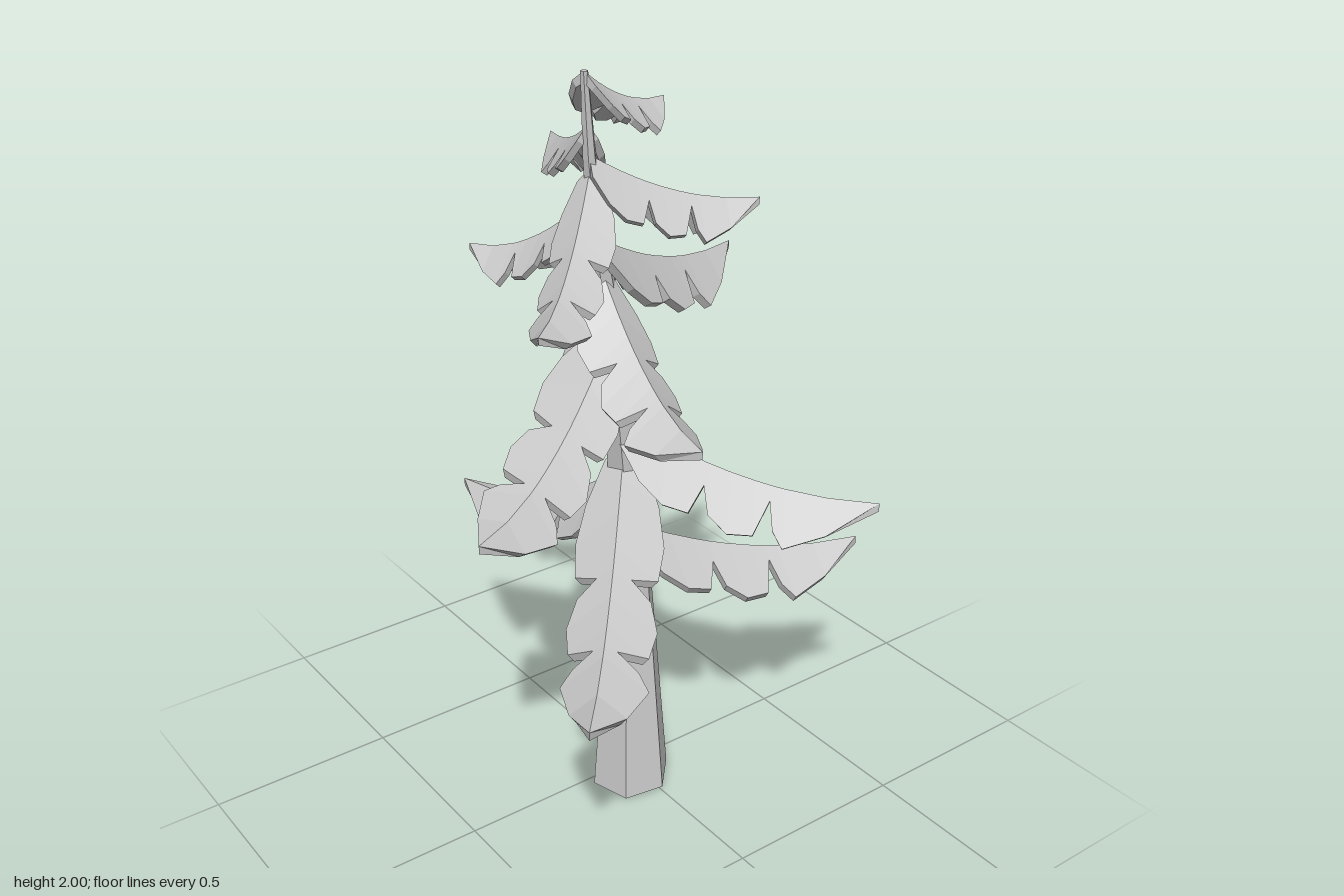
import * as THREE from 'three';

// Trunk centreline and radius: [y, x, z, radius]
const TRUNK = [
  [0, 0.05, 0.027, 0.108], [0.58, 0.05, 0.03, 0.064], [0.95, 0.065, 0.05, 0.05],
  [1.3, 0.09, 0.103, 0.036], [1.55, 0.105, 0.155, 0.026], [1.8, 0.125, 0.195, 0.016], [2, 0.14, 0.217, 0.009],
];

// Branches: [base height, tip x, tip y, tip z, left spread, right spread]
const BRANCHES = [
  [0.81, 0.22, 0.62, -0.61, 0.13, 0.125],
  [0.98, -0.57, 0.70, 0.15, 0.085, 0.14],
  [1.04, 0.515, 0.62, 0.485, 0.11, 0.105],
  [1.12, 0.51, 0.92, -0.39, 0.10, 0.08],
  [1.33, -0.445, 1.13, -0.14, 0.09, 0.095],
  [1.36, 0.27, 1.03, 0.605, 0.075, 0.135],
  [1.53, 0.57, 1.27, 0.22, 0.085, 0.1],
  [1.61, -0.085, 1.43, -0.385, 0.11, 0.08],
  [1.72, -0.22, 1.53, 0.305, 0.07, 0.065],
  [1.78, 0.34, 1.52, 0.48, 0.075, 0.07],
  [1.81, 0.27, 1.68, -0.175, 0.055, 0.065],
  [1.88, -0.14, 1.79, 0.12, 0.055, 0.055],
  [2.00, 0.065, 1.89, -0.055, 0.075, 0.07],
];

// Scalloped outline of one half: [distance along ridge, share of full width]
const OUTLINE = [
  [0, 0.45], [0.08, 0.85], [0.17, 1.03], [0.27, 0.96], [0.325, 0.4],
  [0.345, 0.85], [0.42, 1.04], [0.52, 0.92], [0.58, 0.27],
  [0.595, 0.75], [0.635, 1], [0.8, 0.64], [1, 0],
];

// Point on the trunk centreline at a given height
function trunkAt(y) {
  let i = 0;
  while (i < TRUNK.length - 2 && y > TRUNK[i + 1][0]) i++;
  const a = TRUNK[i], b = TRUNK[i + 1], k = (y - a[0]) / (b[0] - a[0]);
  return a.map((v, j) => THREE.MathUtils.lerp(v, b[j], k));
}

// Collects flat-shaded faces
function faceBuilder() {
  const pos = [];
  const tri = (a, b, c) => {
    const n = b.clone().sub(a).cross(c.clone().sub(a));
    if (n.length() > 1e-9) for (const p of [a, b, c]) pos.push(p.x, p.y, p.z);
  };
  return {
    quad(a, b, c, d, flip) {
      if (flip) [b, d] = [d, b];
      tri(a, b, c);
      tri(a, c, d);
    },
    build() {
      const g = new THREE.BufferGeometry();
      g.setAttribute('position', new THREE.Float32BufferAttribute(pos, 3));
      g.computeVertexNormals();
      return g;
    },
  };
}

// Six-sided tapering trunk bent along its centreline, with a slanted foot
function trunkGeometry() {
  const g = new THREE.CylinderGeometry(1, 1, 1, 6, TRUNK.length - 1).toNonIndexed();
  const p = g.attributes.position;
  for (let i = 0; i < p.count; i++) {
    const row = Math.round((p.getY(i) + 0.5) * (TRUNK.length - 1));
    const [y, x, z, r] = TRUNK[row];
    const a = Math.atan2(p.getX(i), p.getZ(i)) - 0.23;
    const rad = Math.hypot(p.getX(i), p.getZ(i)) * r;
    const px = Math.sin(a) * rad, pz = Math.cos(a) * rad;
    const slant = row === 0 ? 0.011 - px * 0.05 - pz * 0.08 : 0;
    p.setXYZ(i, x + px, y + slant, z + pz);
  }
  g.computeVertexNormals();
  return g;
}

// Drooping folded bough: two scalloped slabs meeting at a ridge
function boughGeometry([baseY, tx, ty, tz, spreadL, spreadR]) {
  const [, bx, bz] = trunkAt(baseY);
  const len = Math.hypot(tx - bx, tz - bz);
  const dir = new THREE.Vector3(tx - bx, 0, tz - bz).normalize();
  const left = new THREE.Vector3(dir.z, 0, -dir.x);
  const slant = 0.05 + 0.155 * len;
  const thick = 0.012 + 0.02 * len;
  const faces = faceBuilder();

  for (const side of [1, -1]) {
    const w = side > 0 ? spreadL : spreadR;
    const drop = Math.sqrt(Math.max(slant * slant - w * w, 0.0009));
    const s = Math.hypot(w, drop);
    const inward = left.clone().multiplyScalar(-side * drop / s * thick);
    inward.y = -w / s * thick;

    const rows = OUTLINE.map(([t, f]) => {
      const ridge = new THREE.Vector3(bx, ty + (baseY - ty) * Math.pow(1 - t, 2), bz).addScaledVector(dir, t * len);
      const under = ridge.clone();
      under.y -= thick * (1.5 - 0.6 * t);
      const outer = ridge.clone().addScaledVector(left, side * f * w);
      outer.y -= f * drop;
      const outerUnder = f === 0 ? under : outer.clone().add(inward);
      return { ridge, under, outer, outerUnder };
    });

    const flip = side > 0;
    for (let i = 0; i < rows.length - 1; i++) {
      const a = rows[i], b = rows[i + 1];
      faces.quad(a.ridge, a.outer, b.outer, b.ridge, flip);
      faces.quad(a.under, b.under, b.outerUnder, a.outerUnder, flip);
      faces.quad(a.outerUnder, b.outerUnder, b.outer, a.outer, flip);
    }
    const a = rows[0];
    faces.quad(a.ridge, a.under, a.outerUnder, a.outer, flip);
  }
  return faces.build();
}

export function createModel() {
  const group = new THREE.Group();
  group.name = 'pineTree';
  const grey = new THREE.MeshStandardMaterial({ color: 0xcccccc });
  grey.name = 'light grey';

  const trunk = new THREE.Mesh(trunkGeometry(), grey);
  trunk.name = 'trunk';
  group.add(trunk);

  BRANCHES.forEach((spec, i) => {
    const bough = new THREE.Mesh(boughGeometry(spec), grey);
    bough.name = `bough${i + 1}`;
    group.add(bough);
  });
  return group;
}
